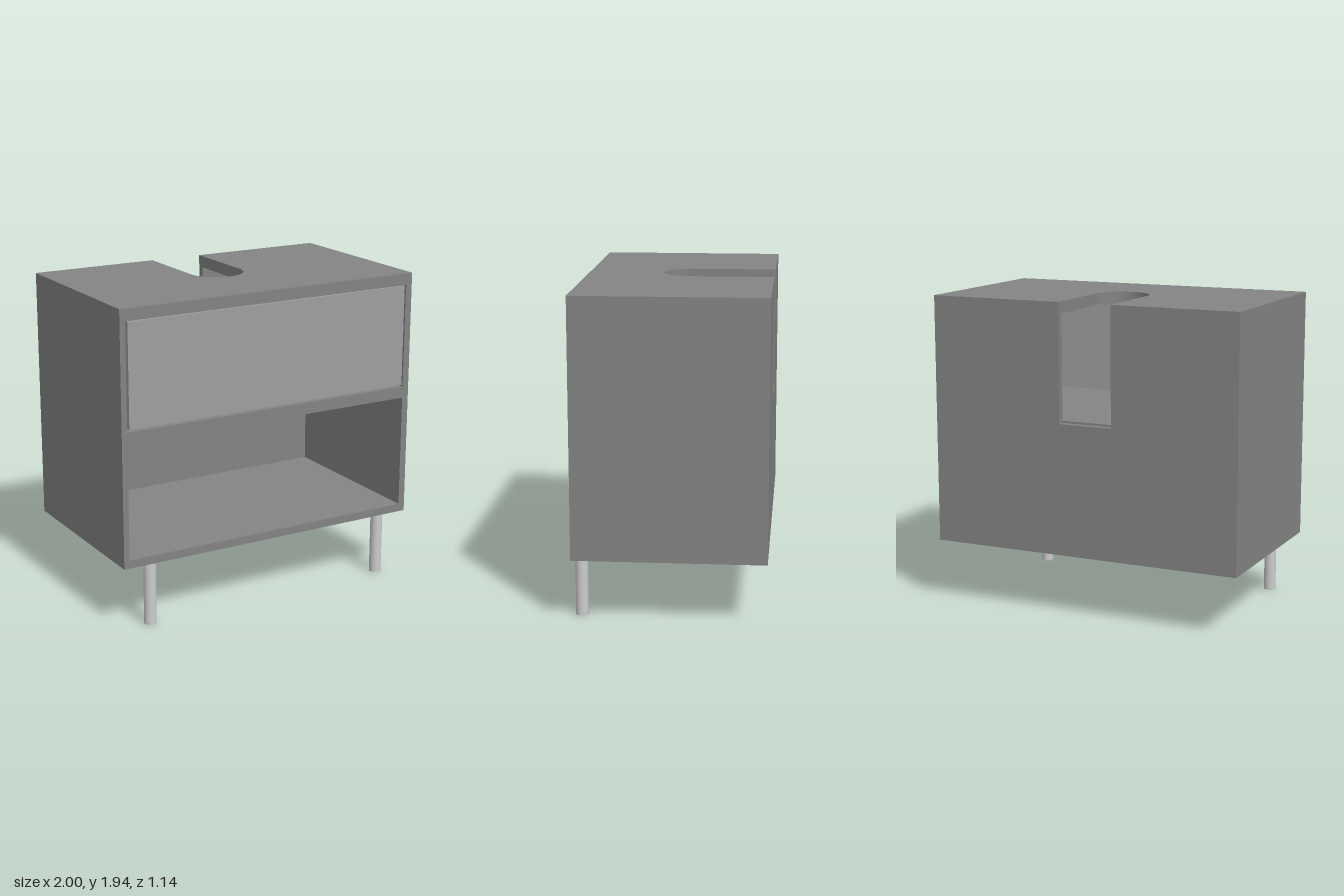
import * as THREE from 'three';

const legGrey = new THREE.MeshStandardMaterial({ color: 0xcccccc });
const carcassGrey = new THREE.MeshStandardMaterial({ color: 0x848484 });
const drawerGrey = new THREE.MeshStandardMaterial({ color: 0x9f9f9f });

export function createModel() {
  const model = new THREE.Group();

  function add(name, geometry, material = carcassGrey) {
    const mesh = new THREE.Mesh(geometry, material);
    mesh.name = name;
    model.add(mesh);
    return mesh;
  }

  // Box given by its limits on each axis
  function board(name, [x0, x1], [y0, y1], [z0, z1], material) {
    const mesh = add(name, new THREE.BoxGeometry(x1 - x0, y1 - y0, z1 - z0), material);
    mesh.position.set((x0 + x1) / 2, (y0 + y1) / 2, (z0 + z1) / 2);
  }

  const base = 0.39, height = 1.938, topUnder = 1.865;
  const back = -0.572, front = 0.572, backInner = -0.53;
  const left = 0.957, right = -0.965; // inner faces of the side panels
  const notchL = 0.145, notchR = -0.197; // plumbing cut-out

  // Carcass
  board('leftSide', [left, 1], [base, topUnder], [back, front]);
  board('rightSide', [-1, right], [base, topUnder], [back, front]);
  board('bottomPanel', [right, left], [base, 0.44], [back, front]);
  board('shelf', [right, left], [1.147, 1.218], [backInner, front]);

  // Back panel with a slot open at the top
  const backShape = new THREE.Shape([
    [right, 0.44], [left, 0.44], [left, topUnder], [notchL, topUnder],
    [notchL, 1.205], [notchR, 1.205], [notchR, topUnder], [right, topUnder],
  ].map(([x, y]) => new THREE.Vector2(x, y)));
  add('backPanel', new THREE.ExtrudeGeometry(backShape, { depth: backInner - back, bevelEnabled: false }))
    .position.z = back;

  // Top panel with a round-ended cut-out open to the back
  const radius = (notchL - notchR) / 2;
  const topShape = new THREE.Shape();
  topShape.moveTo(-1, -front);
  topShape.lineTo(1, -front);
  topShape.lineTo(1, -back);
  topShape.lineTo(notchL, -back);
  topShape.lineTo(notchL, 0.06);
  topShape.absarc((notchL + notchR) / 2, 0.06, radius, 0, Math.PI, true);
  topShape.lineTo(notchR, -back);
  topShape.lineTo(-1, -back);
  topShape.closePath();
  const top = new THREE.ExtrudeGeometry(topShape, {
    depth: height - topUnder, bevelEnabled: false, curveSegments: 24,
  });
  top.rotateX(-Math.PI / 2);
  add('topPanel', top).position.y = topUnder;

  // Drawer front with a narrow gap around it
  board('drawerFront', [-0.945, left], [1.227, 1.857], [0.52, 0.56], drawerGrey);

  // Two front legs
  for (const side of [-1, 1]) {
    const leg = add(side > 0 ? 'leftLeg' : 'rightLeg',
      new THREE.CylinderGeometry(0.0375, 0.0375, base, 32), legGrey);
    leg.position.set(side * 0.815, base / 2, 0.532);
  }

  return model;
}
